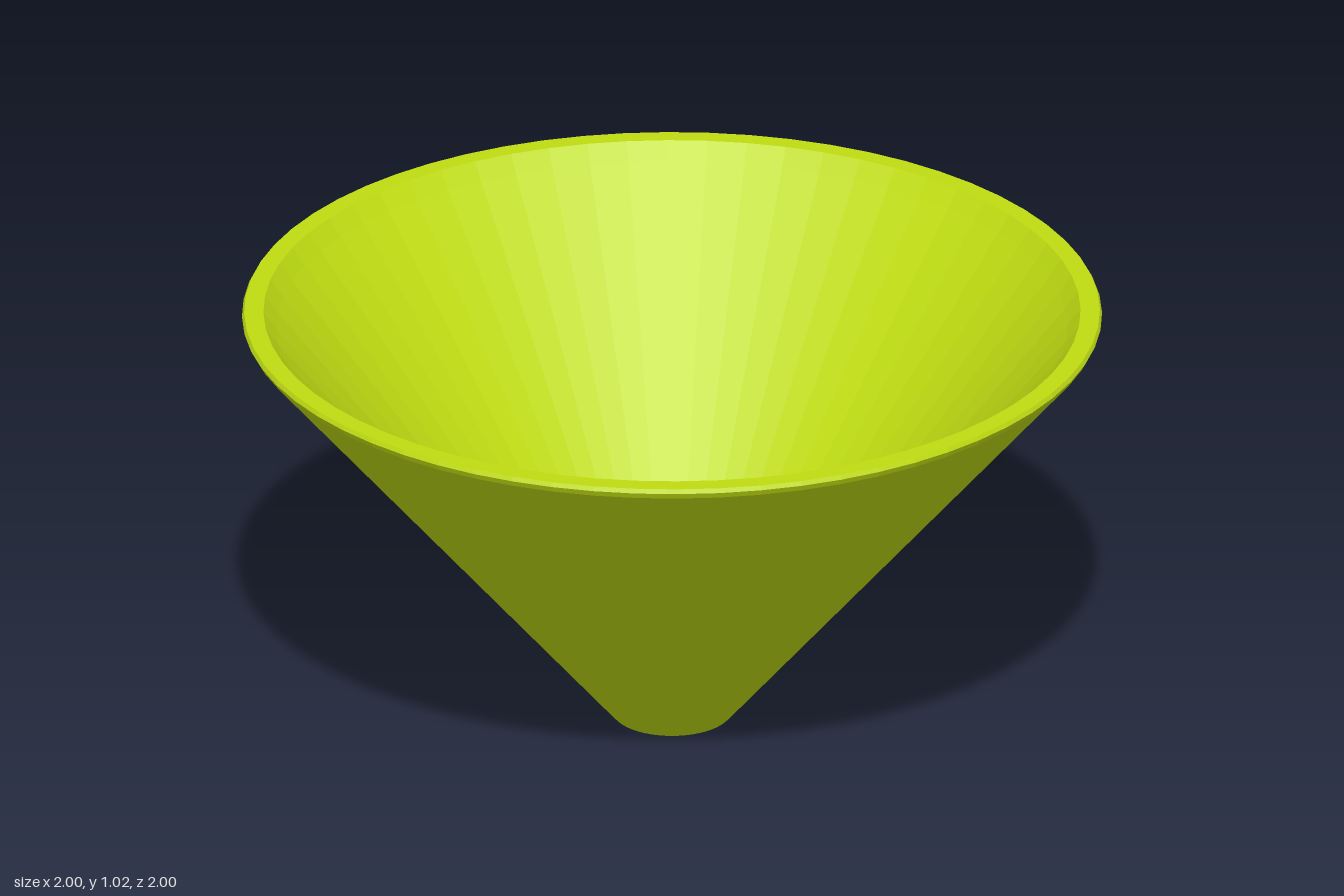
import * as THREE from 'three';

export function createModel() {
  const group = new THREE.Group();
  group.name = 'funnel';

  // Closed wall section: outside going up, over the rim, inside going down
  const profile = [
    [0.125, 0],
    [0.137, 0],
    [0.145, 0.008],
    [0.992, 1.0],
    [1.0, 1.015],
    [0.995, 1.025],
    [0.95, 1.025],
    [0.92, 0.985],
    [0.125, 0.008],
    [0.125, 0],
  ].map(([r, y]) => new THREE.Vector2(r, y));

  // Conical open shell, finely faceted
  const shell = new THREE.Mesh(
    new THREE.LatheGeometry(profile, 64),
    new THREE.MeshStandardMaterial({ color: 0xbfdc12, flatShading: true })
  );
  shell.name = 'coneShell';
  group.add(shell);

  return group;
}
